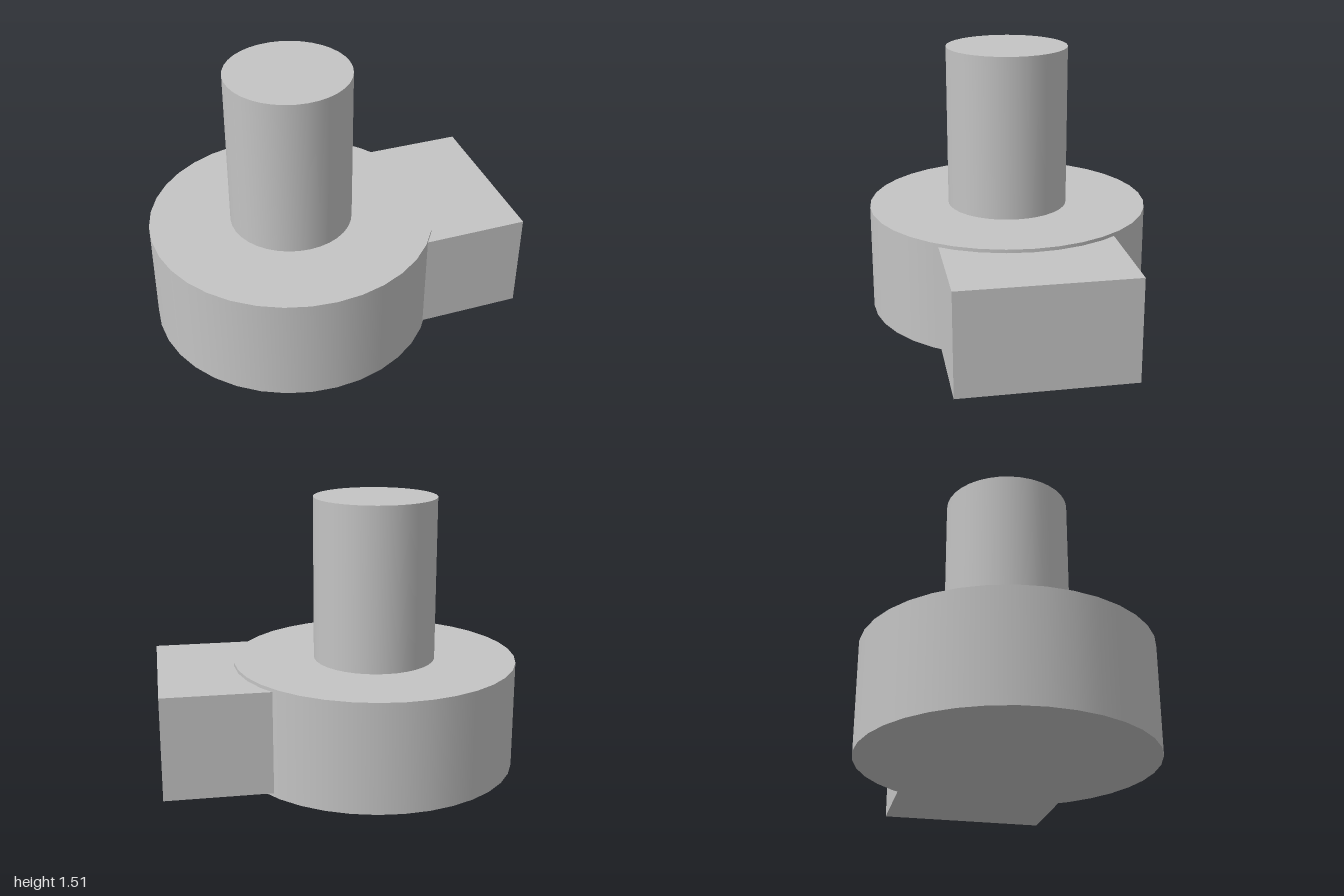
import * as THREE from 'three';

export function createModel() {
  const model = new THREE.Group();
  const grey = new THREE.MeshStandardMaterial({ color: 0xc4c4c4 });
  grey.name = 'grey';

  const add = (name, geometry, x, y) => {
    const mesh = new THREE.Mesh(geometry, grey);
    mesh.name = name;
    mesh.position.set(x, y, 0);
    model.add(mesh);
  };

  const axisX = -0.21;
  // Wide round base
  add('base', new THREE.CylinderGeometry(0.79, 0.79, 0.604, 36), axisX, 0.302);
  // Upright column standing on the base
  add('column', new THREE.CylinderGeometry(0.34, 0.34, 0.906, 36), axisX, 1.057);
  // Side block, slightly lower than the base and set into its rim
  add('sideBlock', new THREE.BoxGeometry(0.6, 0.565, 0.94), 0.7, 0.3025);

  return model;
}
